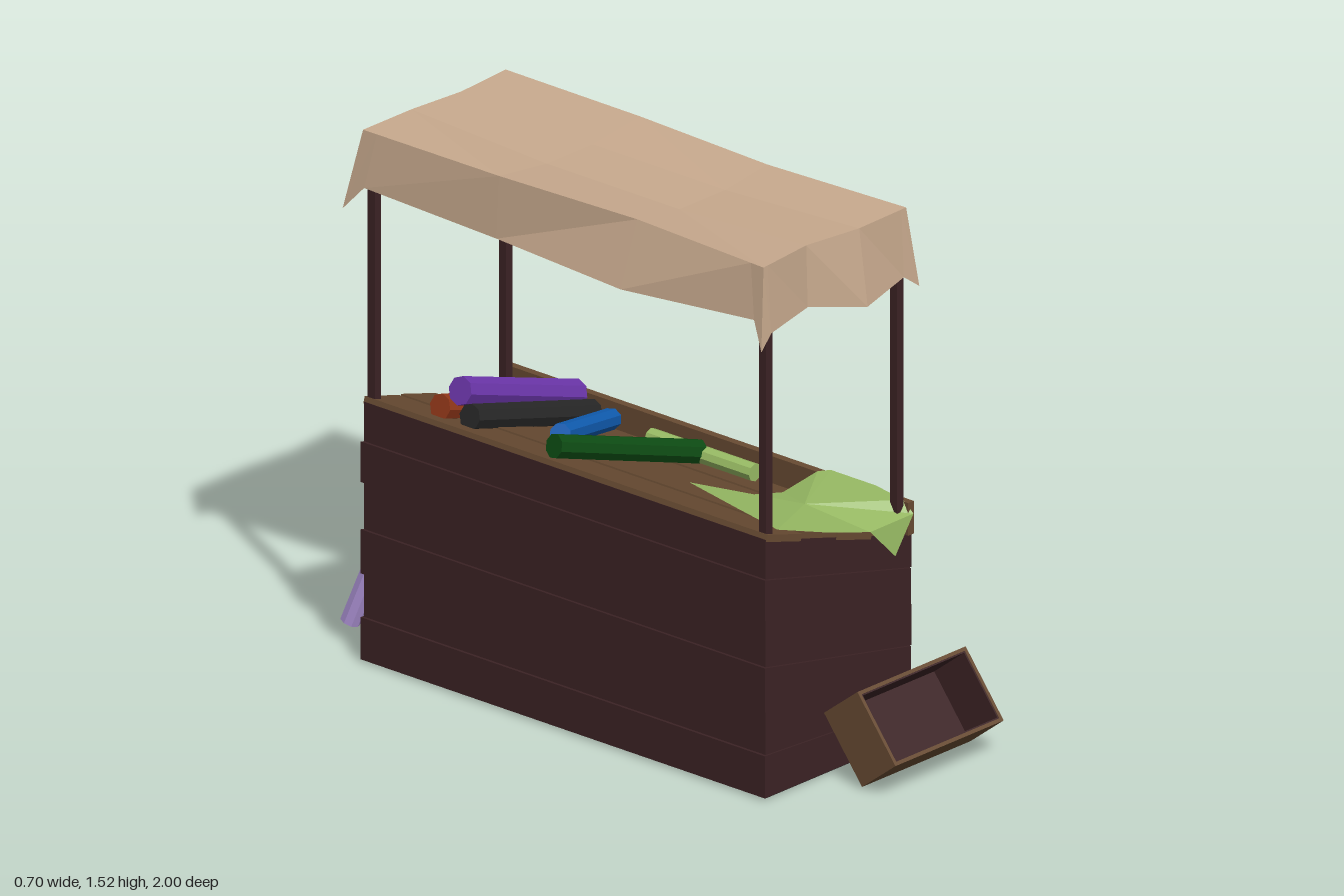
import * as THREE from 'three';

const paint = (name, color, extra = {}) => {
  const m = new THREE.MeshStandardMaterial({ color, flatShading: true, ...extra });
  m.name = name;
  return m;
};

export function createModel() {
  const mat = {
    dark: paint('dark wood', 0x3c2325),
    wood: paint('brown wood', 0x684b32),
    canvas: paint('canvas', 0xc8aa8e, { side: THREE.DoubleSide }),
    lime: paint('light green cloth', 0x98bb64, { side: THREE.DoubleSide }),
    green: paint('dark green cloth', 0x0c4a12),
    blue: paint('blue cloth', 0x1160b8),
    purple: paint('purple cloth', 0x6a35a8),
    black: paint('black cloth', 0x262626),
    red: paint('rust cloth', 0x8f3618),
    lilac: paint('lilac cloth', 0xa98fd0),
  };
  const model = new THREE.Group();
  model.name = 'marketStall';

  const add = (name, geo, m, pos = [0, 0, 0], parent = model) => {
    const mesh = new THREE.Mesh(geo, m);
    mesh.name = name;
    mesh.position.set(...pos);
    parent.add(mesh);
    return mesh;
  };
  const box = (name, size, pos, m, parent) => add(name, new THREE.BoxGeometry(...size), m, pos, parent);
  // Octagonal roll between two points
  const roll = (name, a, b, r, m) => {
    const p = new THREE.Vector3(...a), q = new THREE.Vector3(...b);
    const d = q.clone().sub(p);
    const mesh = add(name, new THREE.CylinderGeometry(r, r, d.length(), 8), m);
    mesh.position.copy(p).add(q).multiplyScalar(0.5);
    mesh.quaternion.setFromUnitVectors(new THREE.Vector3(0, 1, 0), d.normalize());
  };
  // Faceted surface from a list of triangles (arrays of points)
  const sheet = (name, tris, m) => {
    const g = new THREE.BufferGeometry();
    g.setAttribute('position', new THREE.Float32BufferAttribute(tris.flat(2), 3));
    g.computeVertexNormals();
    add(name, g, m);
  };
  const quad = (a, b, c, d) => [[a, b, c], [a, c, d]];

  // Body: slanted plank courses, every other one standing out
  const L = [0.01, 0.13, 0.255, 0.38, 0.515, 0.63, 0.742];
  const R = [0.01, 0.1, 0.18, 0.268, 0.385, 0.49, 0.583];
  for (let i = 0; i < 6; i++) {
    const out = i % 2 ? 0 : 0.008;
    const x0 = -0.302 - out, x1 = 0.27 - (i % 2 ? 0 : 0.006);
    const shape = new THREE.Shape([
      new THREE.Vector2(x0, L[i]), new THREE.Vector2(x1, R[i]),
      new THREE.Vector2(x1, R[i + 1]), new THREE.Vector2(x0, L[i + 1])]);
    const depth = 1.425 + out;
    add('bodyPlank', new THREE.ExtrudeGeometry(shape, { depth, bevelEnabled: false }),
      mat.dark, [0, 0, 0.028 - depth / 2]);
  }
  box('underside', [0.56, 0.006, 1.42], [-0.02, 0.008, 0.028], mat.black);

  // Sloping counter of long boards, and the front rail
  const counter = new THREE.Group();
  counter.name = 'counter';
  counter.position.set(-0.025, 0.668, 0.028);
  counter.rotation.z = -0.279;
  model.add(counter);
  for (let i = 0; i < 4; i++) {
    box('counterBoard', [0.14, 0.02, 1.43 - (i % 2) * 0.008], [-0.2145 + i * 0.143, (i % 2) * 0.004, 0], mat.wood, counter);
  }
  box('frontRail', [0.022, 0.093, 1.44], [0.26, 0.634, 0.028], mat.wood);

  // Canopy posts
  for (const [x, y0] of [[-0.282, 0.72], [0.233, 0.59]]) {
    for (const z of [0.722, -0.665]) {
      box('post', [0.025, 1.51 - y0, 0.025], [x, (1.51 + y0) / 2, z], mat.dark);
    }
  }

  // Canopy: gently sagging top and ragged skirts
  const xs = [-0.31, -0.12, 0.06, 0.25], zs = [0.74, 0.27, -0.2, -0.68];
  const bow = [0, 0.025, 0.003, 0];
  const top = zs.map((z, j) => xs.map((x, i) => [
    x + (i === 0 ? bow[j] : i === 3 ? -bow[j] : 0),
    1.52 - (i % 3 && j % 3 ? 0.022 : 0),
    z + (j === 0 ? [0, -0.02, 0.005, 0][i] : j === 3 ? [0, 0, 0.015, 0][i] : 0)]));
  const canopy = [];
  for (let j = 0; j < 3; j++) for (let i = 0; i < 3; i++) {
    canopy.push(...quad(top[j][i], top[j][i + 1], top[j + 1][i + 1], top[j + 1][i]).map(t => t.reverse()));
    canopy.slice(-2).forEach(t => t.reverse());
  }
  const lerp = (a, b, t) => a.map((v, k) => v + (b[k] - v) * t);
  const skirt = (edge, low, flip) => {
    const e = [edge[0], lerp(edge[0], edge[1], 0.1), edge[1], edge[2], lerp(edge[3], edge[2], 0.1), edge[3]];
    for (let i = 0; i < 5; i++) {
      const q = quad(e[i], low[i], low[i + 1], e[i + 1]);
      canopy.push(...(flip ? q.map(t => [...t].reverse()) : q));
    }
  };
  skirt(top[0], [[-0.335, 1.29, 0.755], [-0.29, 1.33, 0.75], [-0.12, 1.345, 0.725],
    [0.06, 1.305, 0.775], [0.23, 1.33, 0.75], [0.285, 1.29, 0.755]], false);
  skirt(top[3], [[-0.335, 1.29, -0.73], [-0.29, 1.35, -0.72], [-0.12, 1.372, -0.7],
    [0.06, 1.32, -0.735], [0.23, 1.34, -0.72], [0.285, 1.285, -0.735]], true);
  skirt(top.map(r => r[3]), [[0.285, 1.29, 0.755], [0.272, 1.37, 0.72], [0.295, 1.335, 0.27],
    [0.265, 1.345, -0.2], [0.275, 1.365, -0.66], [0.285, 1.285, -0.735]], false);
  skirt(top.map(r => r[0]), [[-0.335, 1.29, 0.755], [-0.325, 1.37, 0.72], [-0.35, 1.34, 0.27],
    [-0.318, 1.345, -0.2], [-0.328, 1.365, -0.66], [-0.335, 1.29, -0.73]], true);
  sheet('canopy', canopy, mat.canvas);

  // Cloth spread on the counter, hanging over the rail and the end
  const onTop = (x, z, lift = 0.018) => [x, 0.672 - (x + 0.025) * 0.286 + lift, z];
  const mid = onTop(0.04, 0.57, 0.04);
  const rim = [onTop(-0.25, 0.735), onTop(-0.17, 0.52), onTop(-0.07, 0.26), onTop(-0.04, 0.4),
    onTop(0.12, 0.42, 0.03), [0.245, 0.685, 0.43], [0.275, 0.685, 0.45], [0.275, 0.685, 0.61],
    [0.25, 0.685, 0.73], [0.26, 0.65, 0.757], onTop(0.09, 0.757, 0.01), onTop(-0.08, 0.755, 0.012)];
  const cloth = rim.map((p, i) => [mid, rim[(i + 1) % rim.length], p]);
  cloth.push([rim[6], rim[7], [0.31, 0.58, 0.5]].reverse(), [rim[10], [0.18, 0.555, 0.765], rim[9]]);
  sheet('drapedCloth', cloth, mat.lime);

  // Rolls of cloth on the counter
  roll('greenRoll', [-0.28, 0.79, -0.03], [0.2, 0.65, 0.05], 0.034, mat.green);
  roll('blueRoll', [-0.2, 0.785, -0.08], [0.22, 0.645, -0.28], 0.03, mat.blue);
  roll('blackRoll', [-0.24, 0.768, -0.365], [0.24, 0.635, -0.365], 0.036, mat.black);
  roll('rustRoll', [-0.24, 0.768, -0.47], [0.24, 0.635, -0.47], 0.036, mat.red);
  roll('purpleRoll', [-0.22, 0.822, -0.417], [0.235, 0.675, -0.417], 0.04, mat.purple);
  roll('limeRoll', [0.2, 0.645, 0.25], [0.2, 0.645, -0.12], 0.025, mat.lime);

  // Rolls leaning on the rear end
  roll('lilacRoll', [-0.085, 0.455, -0.72], [-0.152, 0.02, -0.868], 0.028, mat.lilac);
  roll('brownRoll', [-0.03, 0.47, -0.722], [-0.03, 0.02, -0.862], 0.03, mat.wood);

  // Open crates with dark lining; the opening is on local +z
  const crate = (name, pos, rot, striped) => {
    const g = new THREE.Group();
    g.name = name;
    g.position.set(...pos);
    g.rotation.set(...rot);
    model.add(g);
    const w = 0.425, h = 0.22, d = 0.15, t = 0.01;
    box('crateBase', [w, h, t], [0, 0, -d / 2 + t / 2], mat.wood, g);
    box('crateBaseLining', [w - 2 * t, h - 2 * t, 0.004], [0, 0, -d / 2 + t + 0.002], mat.dark, g);
    for (const s of [-1, 1]) {
      box('crateSide', [w, t, d], [0, s * (h - t) / 2, 0], mat.wood, g);
      box('crateSideLining', [w - 2 * t, 0.004, d - 0.004], [0, s * (h / 2 - t - 0.002), 0], mat.dark, g);
      box('crateEnd', [t, h, d], [s * (w - t) / 2, 0, 0], mat.wood, g);
      box('crateEndLining', [0.004, h - 2 * t, d - 0.004], [s * (w / 2 - t - 0.002), 0, 0], mat.dark, g);
      if (striped) for (const k of [-1, 1]) {
        box('crateGap', [w - 0.01, 0.004, 0.016], [0, s * (h / 2 + 0.001), k * 0.03], mat.dark, g);
      }
    }
  };
  crate('frontCrate', [0.133, 0.143, 0.873], [-0.66, 0, 0], false);
  crate('rearCrate', [0.135, 0.228, -0.847], [0.39, 0, Math.PI / 2], true);

  return model;
}
